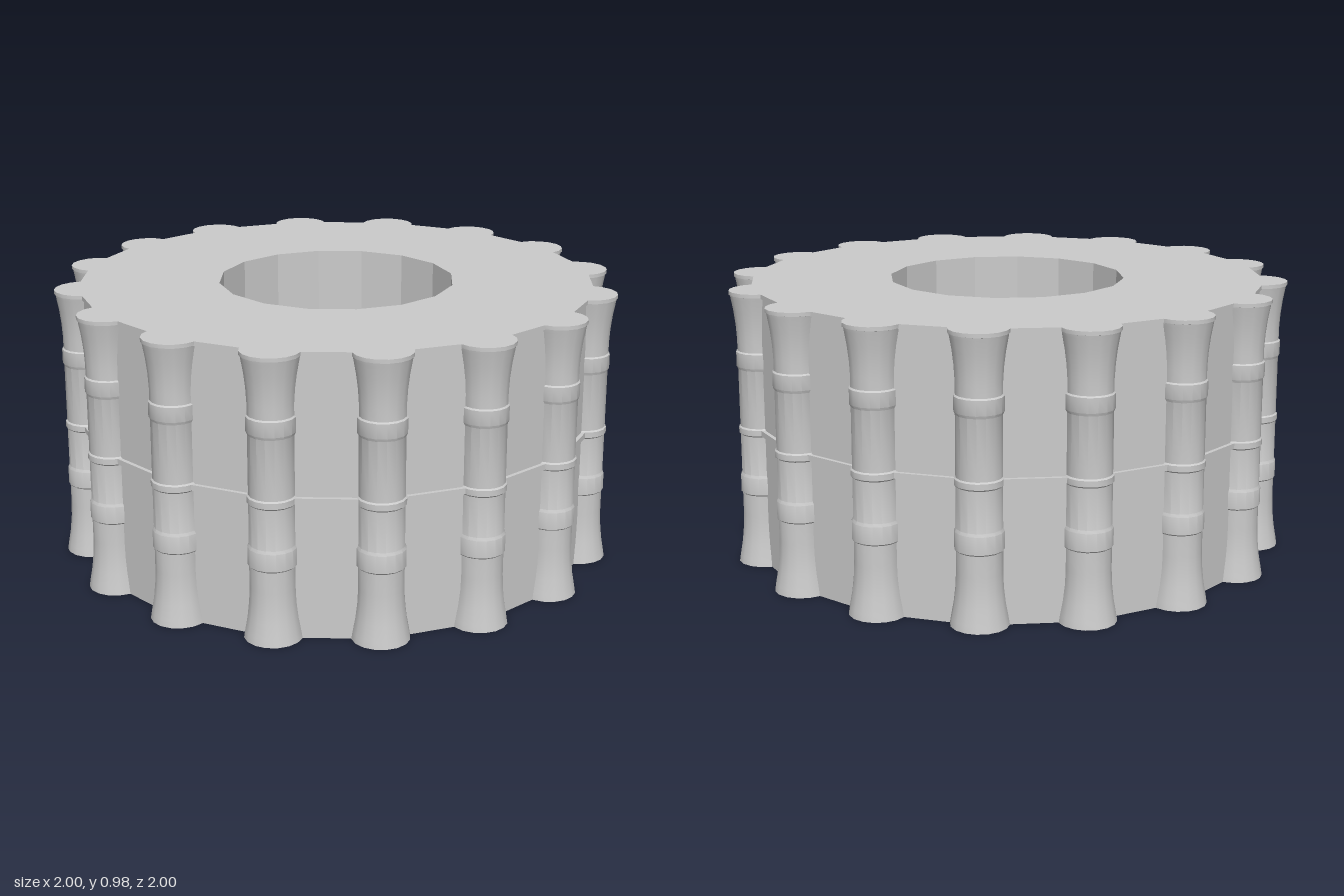
import * as THREE from 'three';
import { toCreasedNormals } from 'three/addons/utils/BufferGeometryUtils.js';

const SIDES = 16;
const HEIGHT = 0.98;
const HOLE = 0.42;
const COLUMN_RING = 0.9;
// turns the distance to a flat into the distance to a corner
const corner = (flat) => flat / Math.cos(Math.PI / SIDES);

function lathe(points, crease) {
  const profile = points.map(([r, y]) => new THREE.Vector2(r, y));
  return toCreasedNormals(new THREE.LatheGeometry(profile, SIDES), crease);
}

export function createModel() {
  const model = new THREE.Group();
  const grey = new THREE.MeshStandardMaterial({ color: 0xcccccc });
  const faceted = new THREE.MeshStandardMaterial({ color: 0xcccccc, flatShading: true });

  function add(name, geometry, material, parent = model) {
    const mesh = new THREE.Mesh(geometry, material);
    mesh.name = name;
    parent.add(mesh);
    return mesh;
  }

  // sixteen-sided drum with a through hole and a thin lip at the top
  const wall = corner(0.9), lip = corner(0.907);
  add('drum', lathe([
    [HOLE, 0], [wall, 0], [wall, 0.965], [lip, 0.965],
    [lip, HEIGHT], [HOLE, HEIGHT], [HOLE, 0],
  ], 0.1), faceted);

  // narrow band around the middle of the walls
  const band = corner(0.914);
  add('middleBand', lathe([
    [0.85, 0.475], [band, 0.475], [band, 0.495], [0.85, 0.495],
  ], 0.1), faceted);

  // flared column with slightly swollen joints
  const columnShape = lathe([
    [0, 0], [0.098, 0], [0.094, 0.025], [0.085, 0.075], [0.079, 0.13], [0.077, 0.18],
    [0.077, 0.255], [0.082, 0.26], [0.082, 0.32], [0.077, 0.33],
    [0.077, 0.47], [0.082, 0.475], [0.082, 0.495], [0.077, 0.5],
    [0.077, 0.705], [0.082, 0.715], [0.082, 0.765], [0.077, 0.77],
    [0.077, 0.81], [0.08, 0.86], [0.086, 0.91], [0.094, 0.955],
    [0.096, 0.966], [0.1, 0.967], [0.1, HEIGHT], [0, HEIGHT],
  ], 0.5);
  const columns = new THREE.Group();
  columns.name = 'columns';
  model.add(columns);
  for (let i = 0; i < SIDES; i++) {
    const angle = (i / SIDES) * Math.PI * 2;
    const column = add('column', columnShape, grey, columns);
    column.position.set(Math.sin(angle) * COLUMN_RING, 0, Math.cos(angle) * COLUMN_RING);
    column.rotation.y = angle;
  }
  return model;
}
